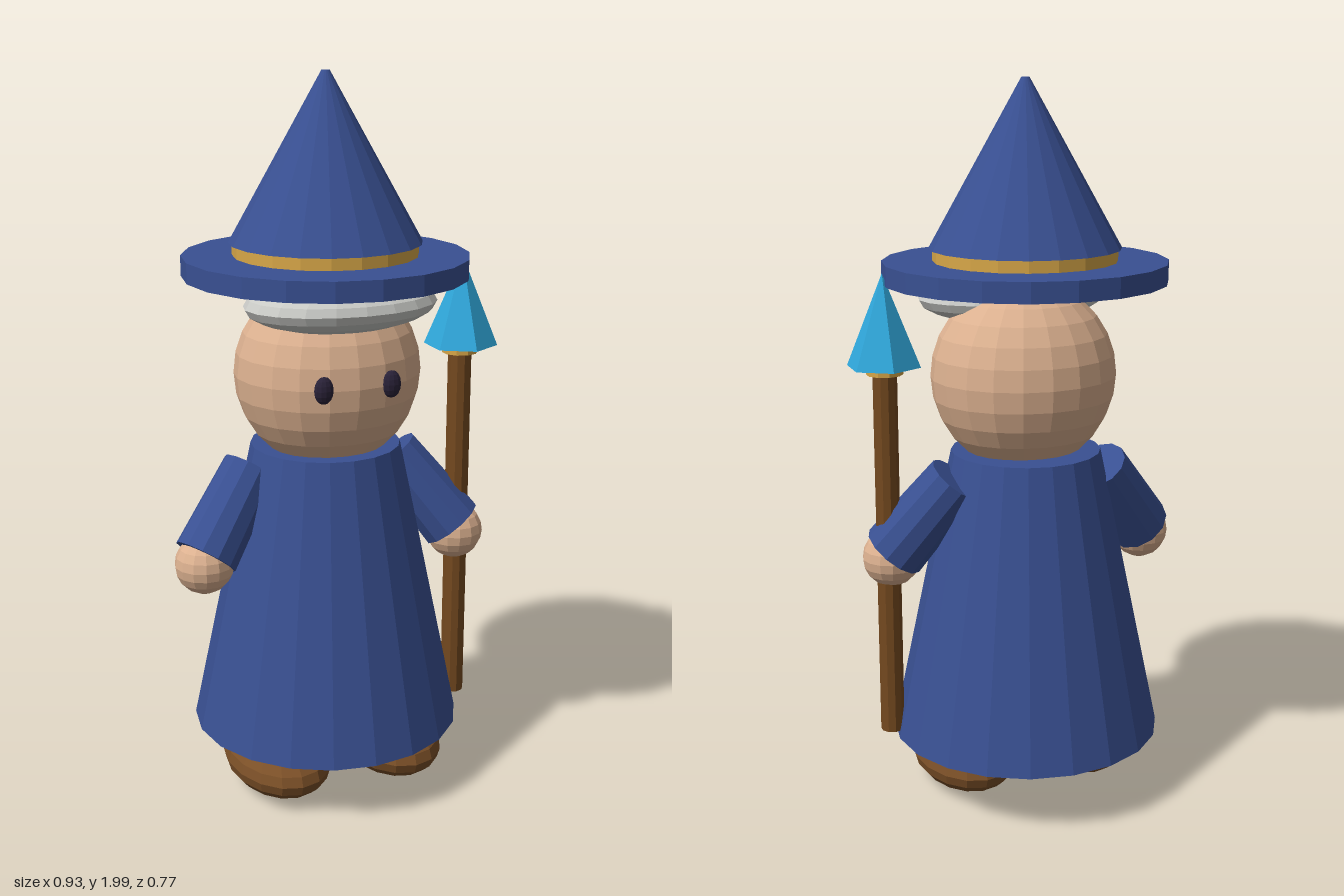
import * as THREE from 'three';

const mat = (name, color) => Object.assign(new THREE.MeshStandardMaterial({ color }), { name });

export function createModel() {
  const cloth = mat('blueCloth', 0x395092);
  const skin = mat('skin', 0xdcb190);
  const leather = mat('brownLeather', 0x7a4f27);
  const wood = mat('brownWood', 0x74491f);
  const grey = mat('greyHair', 0xc9cac6);
  const gold = mat('gold', 0xd8a748);
  const crystal = mat('crystalBlue', 0x30a8dc);
  const dark = mat('darkEye', 0x2a2238);

  const model = new THREE.Group();
  const CX = -0.011; // body axis

  // Faceted mesh at a position
  const add = (name, geometry, material, x, y, z) => {
    const flat = geometry.toNonIndexed();
    flat.computeVertexNormals();
    const mesh = new THREE.Mesh(flat, material);
    mesh.name = name;
    mesh.position.set(x, y, z);
    model.add(mesh);
    return mesh;
  };
  // Upright cylinder or cone between two heights
  const column = (name, material, rTop, rBottom, y0, y1, sides, x = CX, z = -0.003) =>
    add(name, new THREE.CylinderGeometry(rTop, rBottom, y1 - y0, sides), material, x, (y0 + y1) / 2, z);
  // Ellipsoid from a sphere
  const ball = (name, material, rx, ry, rz, x, y, z, w = 16, h = 12) =>
    add(name, new THREE.SphereGeometry(1, w, h).scale(rx, ry, rz), material, x, y, z);

  // Robe
  column('robe', cloth, 0.207, 0.377, 0.185, 1.0, 20, CX, -0.007);

  // Head and brow hair
  ball('head', skin, 0.258, 0.262, 0.23, CX, 1.205, 0.01, 20, 14);
  ball('hair', grey, 0.266, 0.072, 0.18, CX, 1.41, 0.108, 20, 10);

  // Hat
  column('hatBrim', cloth, 0.387, 0.387, 1.467, 1.522, 20);
  column('hatBand', gold, 0.25, 0.25, 1.522, 1.556, 20);
  column('hatCone', cloth, 0.011, 0.26, 1.555, 2.0, 20);

  // Paired parts
  for (const [side, s] of [['left', 1], ['right', -1]]) {
    ball(side + 'Eye', dark, 0.027, 0.037, 0.018, CX + s * 0.095, 1.21, 0.226, 12, 8);
    ball(side + 'Shoe', leather, 0.144, 0.089, 0.214, CX + s * 0.171, 0.096, 0.047, 16, 10);
    ball(side + 'Hand', skin, 0.081, 0.081, 0.081, CX + s * 0.374, 0.708, 0.05, 14, 10);

    // Sleeve from shoulder to wrist
    const shoulder = new THREE.Vector3(CX + s * 0.212, 0.938, -0.03);
    const wrist = new THREE.Vector3(CX + s * 0.368, 0.726, 0.045);
    const along = shoulder.clone().sub(wrist);
    const mid = shoulder.clone().add(wrist).multiplyScalar(0.5);
    const sleeve = add(side + 'Sleeve', new THREE.CylinderGeometry(0.078, 0.09, along.length(), 12),
      cloth, mid.x, mid.y, mid.z);
    sleeve.quaternion.setFromUnitVectors(new THREE.Vector3(0, 1, 0), along.normalize());
  }

  // Staff with collar and crystal tip
  column('staffShaft', wood, 0.033, 0.033, 0.2, 1.235, 10, 0.374, 0.039);
  column('staffCollar', gold, 0.05, 0.05, 1.228, 1.252, 10, 0.374, 0.039);
  column('staffCrystal', crystal, 0, 0.102, 1.25, 1.5, 6, 0.376, 0.038);

  return model;
}
